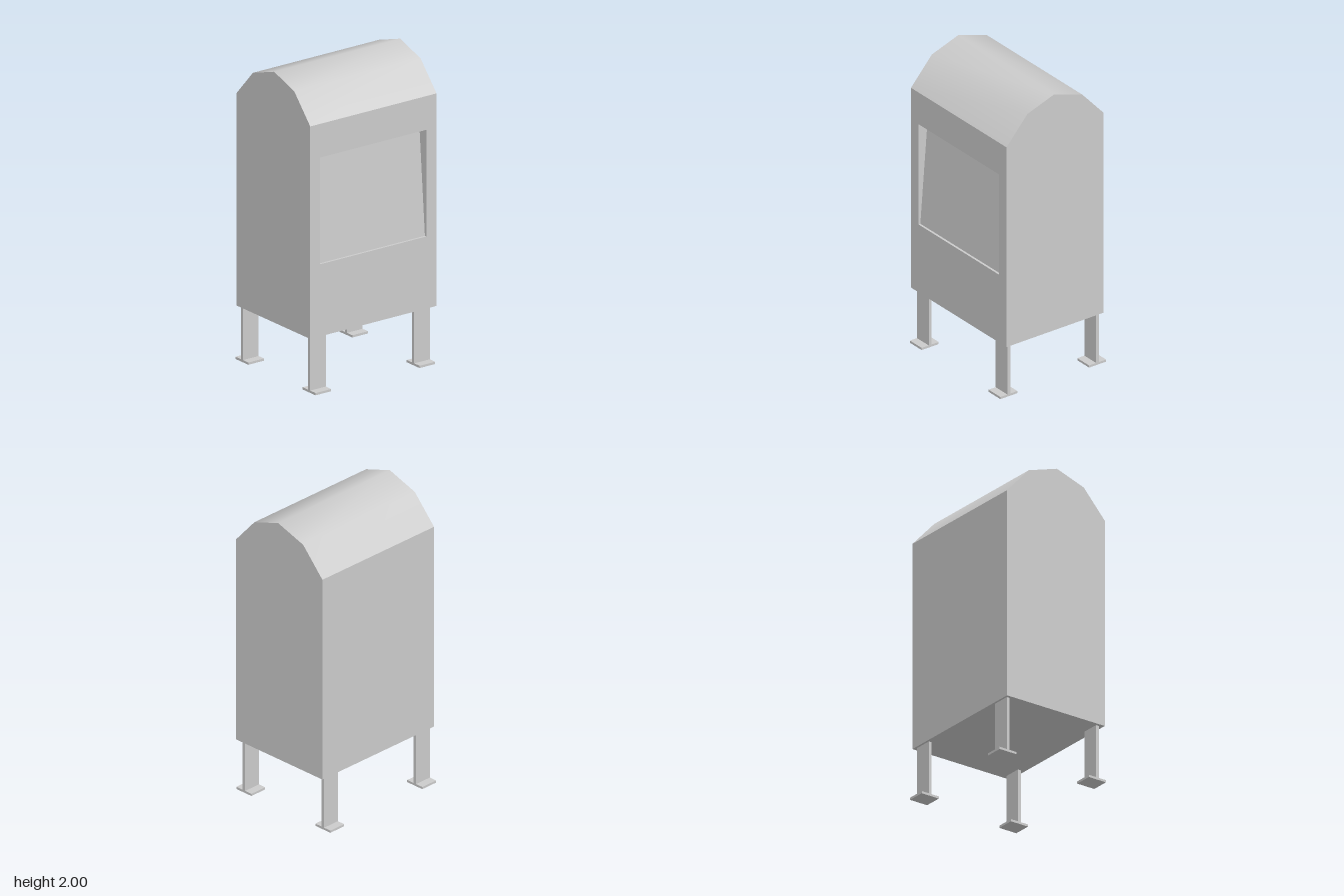
import * as THREE from 'three';

const HALF_W = 0.485, BASE = 0.365, EAVE = 1.75, FRONT = 0.38, BACK = -0.365;
// Roof cross-section as [z, y], front eave to back eave
const ROOF = [[FRONT, EAVE], [0.22, 1.93], [0.015, 2], [-0.2, 1.93], [BACK, EAVE]];
// Slanted recess in the front: opening and depth at top and bottom
const RECESS = { x0: -0.41, x1: 0.407, y0: 0.835, y1: 1.53, top: 0.07, bottom: 0.015 };

const material = new THREE.MeshStandardMaterial({ color: 0xcccccc });

function add(group, name, geometry) {
  const mesh = new THREE.Mesh(geometry, material);
  mesh.name = name;
  group.add(mesh);
  return mesh;
}

// Flat-shaded quads, each with corners counter-clockwise from outside
function quads(list) {
  const pos = list.flatMap(([a, b, c, d]) => [a, b, c, a, c, d]).flat();
  const geo = new THREE.BufferGeometry();
  geo.setAttribute('position', new THREE.Float32BufferAttribute(pos, 3));
  geo.computeVertexNormals();
  return geo;
}

function polygon(points) {
  return new THREE.Shape(points.map(([x, y]) => new THREE.Vector2(x, y)));
}

// Curved roof: strip along x sharing vertices so the arc shades smoothly
function roofGeometry() {
  const pos = [], index = [];
  ROOF.forEach(([z, y], i) => {
    pos.push(-HALF_W, y, z, HALF_W, y, z);
    if (i) {
      const a = 2 * i - 2;
      index.push(a, a + 1, a + 3, a, a + 3, a + 2);
    }
  });
  const geo = new THREE.BufferGeometry();
  geo.setAttribute('position', new THREE.Float32BufferAttribute(pos, 3));
  geo.setIndex(index);
  geo.computeVertexNormals();
  return geo;
}

export function createModel() {
  const model = new THREE.Group();
  model.name = 'collectionBox';
  const body = new THREE.Group();
  body.name = 'body';
  model.add(body);

  // Front panel with a rectangular opening
  const { x0, x1, y0, y1, top, bottom } = RECESS;
  const front = polygon([[-HALF_W, BASE], [HALF_W, BASE], [HALF_W, EAVE], [-HALF_W, EAVE]]);
  front.holes.push(polygon([[x0, y0], [x0, y1], [x1, y1], [x1, y0]]));
  add(body, 'frontPanel', new THREE.ShapeGeometry(front).translate(0, 0, FRONT));

  // Recess: slanted panel and its four reveals
  const o = [[x0, y0], [x1, y0], [x1, y1], [x0, y1]].map(([x, y]) => [x, y, FRONT]);
  const n = o.map(([x, y], i) => [x, y, FRONT - (i < 2 ? bottom : top)]);
  const reveals = o.map((p, i) => [p, o[(i + 1) % 4], n[(i + 1) % 4], n[i]]);
  add(body, 'recessPanel', quads([n]));
  add(body, 'recessReveals', quads(reveals));

  // Back and underside
  add(body, 'backPanel', quads([[
    [HALF_W, BASE, BACK], [-HALF_W, BASE, BACK], [-HALF_W, EAVE, BACK], [HALF_W, EAVE, BACK],
  ]]));
  add(body, 'underside', quads([[
    [-HALF_W, BASE, BACK], [HALF_W, BASE, BACK], [HALF_W, BASE, FRONT], [-HALF_W, BASE, FRONT],
  ]]));

  // Side panels follow the roof outline
  const outline = [[BACK, BASE], [FRONT, BASE], ...ROOF];
  for (const s of [-1, 1]) {
    const geo = new THREE.ShapeGeometry(polygon(outline.map(([z, y]) => [-s * z, y])));
    geo.rotateY(s * Math.PI / 2).translate(s * HALF_W, 0, 0);
    add(body, s > 0 ? 'leftSide' : 'rightSide', geo);
  }
  add(body, 'roof', roofGeometry());

  // Four flat legs on foot plates
  for (const x of [-0.403, 0.396]) {
    for (const z of [-0.34, 0.34]) {
      const leg = new THREE.Group();
      leg.name = (z > 0 ? 'front' : 'back') + (x > 0 ? 'Left' : 'Right') + 'Leg';
      leg.position.set(x, 0, z);
      add(leg, 'post', new THREE.BoxGeometry(0.12, BASE - 0.015, 0.022)).position.y = (BASE + 0.015) / 2;
      add(leg, 'footPlate', new THREE.BoxGeometry(0.12, 0.015, 0.13)).position.y = 0.0075;
      model.add(leg);
    }
  }
  return model;
}
